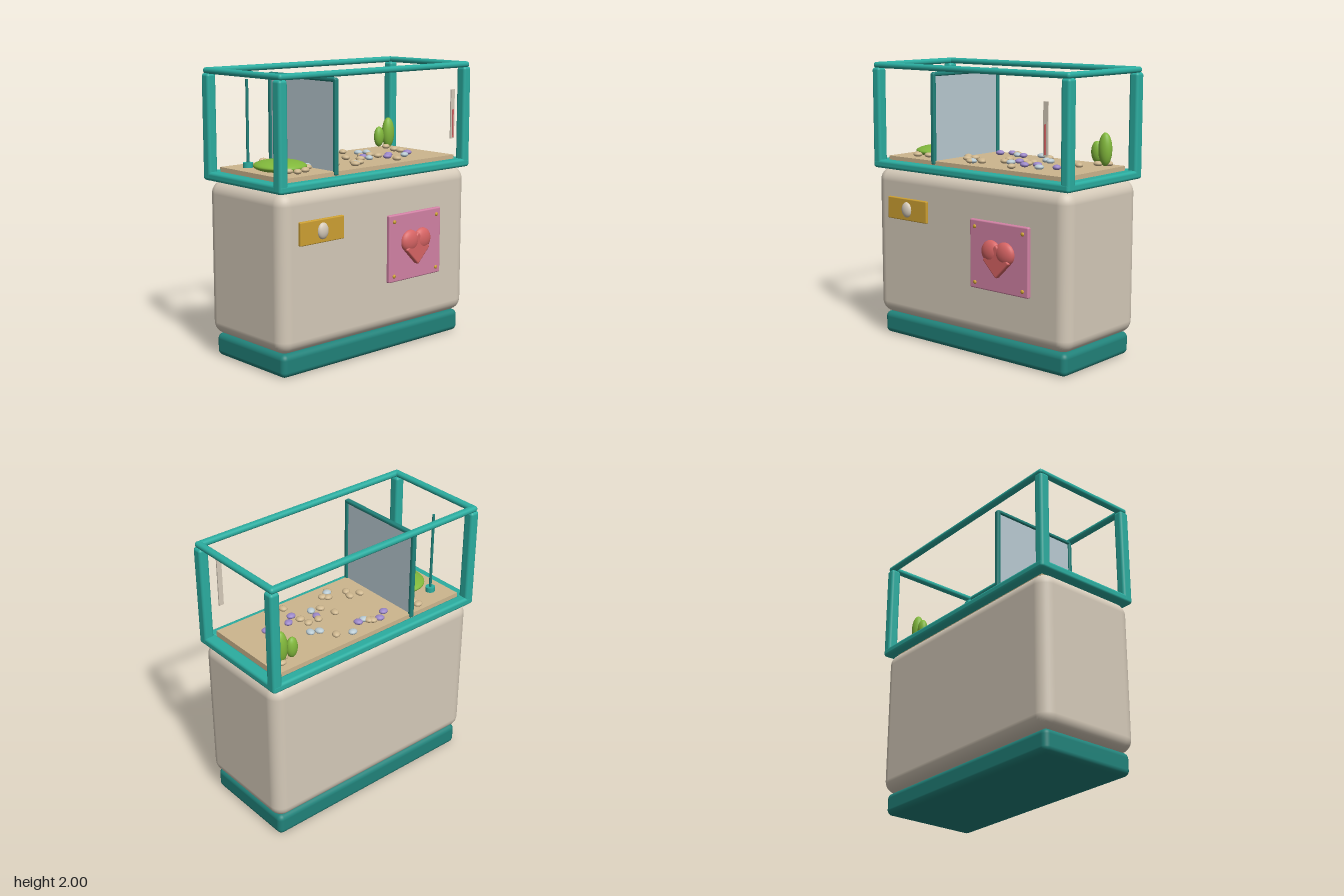
import * as THREE from 'three';
import { RoundedBoxGeometry } from 'three/addons/geometries/RoundedBoxGeometry.js';

const mat = (name, color) => {
  const m = new THREE.MeshStandardMaterial({ color });
  m.name = name;
  return m;
};

export function createModel() {
  const M = {
    cream: mat('cream', 0xd5cab9),
    teal: mat('teal', 0x2bada0),
    darkTeal: mat('dark teal', 0x21827a),
    sand: mat('sand', 0xcdb68e),
    green: mat('leaf green', 0x82b93c),
    gold: mat('gold', 0xcda032),
    pink: mat('pink', 0xd282a5),
    coral: mat('coral', 0xd76464),
    mist: mat('mist blue', 0xb9cad2),
    violet: mat('violet', 0x9b87c8),
  };
  const root = new THREE.Group();
  const ZC = -0.028; // middle of the body in z

  const add = (name, geo, material, x, y, z, parent = root) => {
    const mesh = new THREE.Mesh(geo, material);
    mesh.name = name;
    mesh.position.set(x, y, z);
    parent.add(mesh);
    return mesh;
  };
  const group = (name) => {
    const g = new THREE.Group();
    g.name = name;
    root.add(g);
    return g;
  };
  const rbox = (w, h, d, r) => new RoundedBoxGeometry(w, h, d, 4, r);
  const ball = (rx, ry, rz, n = 24) => new THREE.SphereGeometry(1, n, Math.ceil(n * 0.66)).scale(rx, ry, rz);

  // Cabinet and plinth
  add('plinth', rbox(1.69, 0.16, 0.736, 0.04), M.darkTeal, 0, 0.08, ZC + 0.003);
  add('cabinet', rbox(1.756, 1.08, 0.796, 0.09), M.cream, 0, 0.7, ZC + 0.004);

  // Tank frame: four posts with rails below and above
  const frame = group('tankFrame');
  for (const s of [-1, 1]) {
    add('lowerLongRail', rbox(1.784, 0.06, 0.08, 0.02), M.teal, 0, 1.268, ZC + s * 0.374, frame);
    add('lowerShortRail', rbox(0.09, 0.06, 0.828, 0.02), M.teal, s * 0.847, 1.268, ZC, frame);
    add('upperLongRail', rbox(1.77, 0.042, 0.05, 0.02), M.teal, 0, 1.979, ZC + s * 0.384, frame);
    add('upperShortRail', rbox(0.05, 0.042, 0.816, 0.02), M.teal, s * 0.86, 1.979, ZC, frame);
    for (const t of [-1, 1])
      add('cornerPost', rbox(0.072, 0.724, 0.078, 0.02), M.teal, s * 0.857, 1.6, ZC + t * 0.374, frame);
  }

  // Sand bed
  add('sandBed', new THREE.BoxGeometry(1.6, 0.09, 0.68), M.sand, 0, 1.28, ZC);

  // Divider: pane in a slim frame
  const divider = group('divider');
  const DX = -0.354;
  add('dividerPane', new THREE.BoxGeometry(0.01, 0.62, 0.66), M.mist, DX, 1.62, ZC, divider);
  add('dividerTopBar', rbox(0.036, 0.03, 0.69, 0.012), M.darkTeal, DX, 1.932, ZC, divider);
  for (const s of [-1, 1])
    add('dividerUpright', rbox(0.034, 0.64, 0.03, 0.01), M.darkTeal, DX, 1.62, ZC + s * 0.338, divider);

  // Thin rod on a round foot
  add('rodFoot', new THREE.CylinderGeometry(0.034, 0.034, 0.035, 20), M.teal, -0.675, 1.342, -0.222);
  add('rod', new THREE.CylinderGeometry(0.01, 0.01, 0.6, 12), M.darkTeal, -0.675, 1.622, -0.222);

  // Moss mound and leafy plants
  add('mossMound', ball(0.176, 0.042, 0.19, 32), M.green, -0.577, 1.353, 0);
  add('shortPlant', ball(0.042, 0.075, 0.033), M.green, 0.622, 1.415, -0.285);
  add('tallPlant', ball(0.05, 0.115, 0.043), M.green, 0.703, 1.44, -0.27);

  // Pebbles: x, z pairs for each colour
  const pebbles = group('pebbles');
  const spots = {
    sand: [-0.465, -0.32, -0.465, -0.277, -0.08, -0.277, -0.06, -0.258, 0.227, -0.258, 0.66, -0.248, 0.715, -0.296,
      0.605, -0.105, 0.591, -0.029, 0.05, -0.033, 0.194, -0.029, 0.275, -0.024, 0.289, 0.048, 0.093, 0.072,
      -0.256, 0.057, -0.174, 0.072, -0.194, 0.134, -0.045, 0.153, -0.017, 0.182, -0.093, 0.22, 0.294, 0.234,
      -0.395, -0.12, -0.605, 0.215, -0.519, 0.191, -0.64, 0.163, -0.428, 0.105],
    violet: [-0.213, -0.239, -0.136, -0.287, 0.012, -0.234, -0.395, -0.067, 0.179, 0.01, 0.38, 0.062,
      0.313, 0.12, 0.557, 0.077],
    mist: [0.122, -0.306, -0.041, -0.23, 0.285, -0.153, 0.342, -0.127, 0.165, 0.086, 0.46, 0.144,
      -0.079, 0.208, -0.395, 0.057],
  };
  const pebble = ball(0.033, 0.018, 0.028, 16);
  for (const [key, xz] of Object.entries(spots))
    for (let i = 0; i < xz.length; i += 2)
      add('pebble', pebble, M[key], xz[i], 1.341, xz[i + 1], pebbles).rotation.y = i * 1.3;

  // Thermometer at the front
  add('thermometerPlate', new THREE.BoxGeometry(0.037, 0.35, 0.009), M.cream, 0.703, 1.635, 0.38);
  add('thermometerColumn', new THREE.BoxGeometry(0.012, 0.2, 0.006), M.coral, 0.703, 1.568, 0.386);

  // Drawer plate with oval knob
  add('drawerPlate', rbox(0.382, 0.158, 0.03, 0.007), M.gold, -0.545, 0.965, 0.38);
  add('drawerKnob', ball(0.045, 0.056, 0.026), M.cream, -0.545, 0.965, 0.395);

  // Pink panel with rivets
  add('pinkPanel', rbox(0.514, 0.478, 0.035, 0.01), M.pink, 0.32, 0.741, 0.382);
  for (const x of [0.11, 0.53])
    for (const y of [0.545, 0.932])
      add('rivet', ball(0.014, 0.014, 0.01, 12), M.gold, x, y, 0.4);

  // Heart: two lobes over a diamond
  const heart = group('heart');
  add('heartPoint', rbox(0.166, 0.166, 0.06, 0.012), M.coral, 0.32, 0.72, 0.403, heart).rotation.z = Math.PI / 4;
  for (const s of [-1, 1])
    add('heartLobe', ball(0.082, 0.08, 0.042, 28), M.coral, 0.32 + s * 0.06, 0.777, 0.4, heart);

  return root;
}
